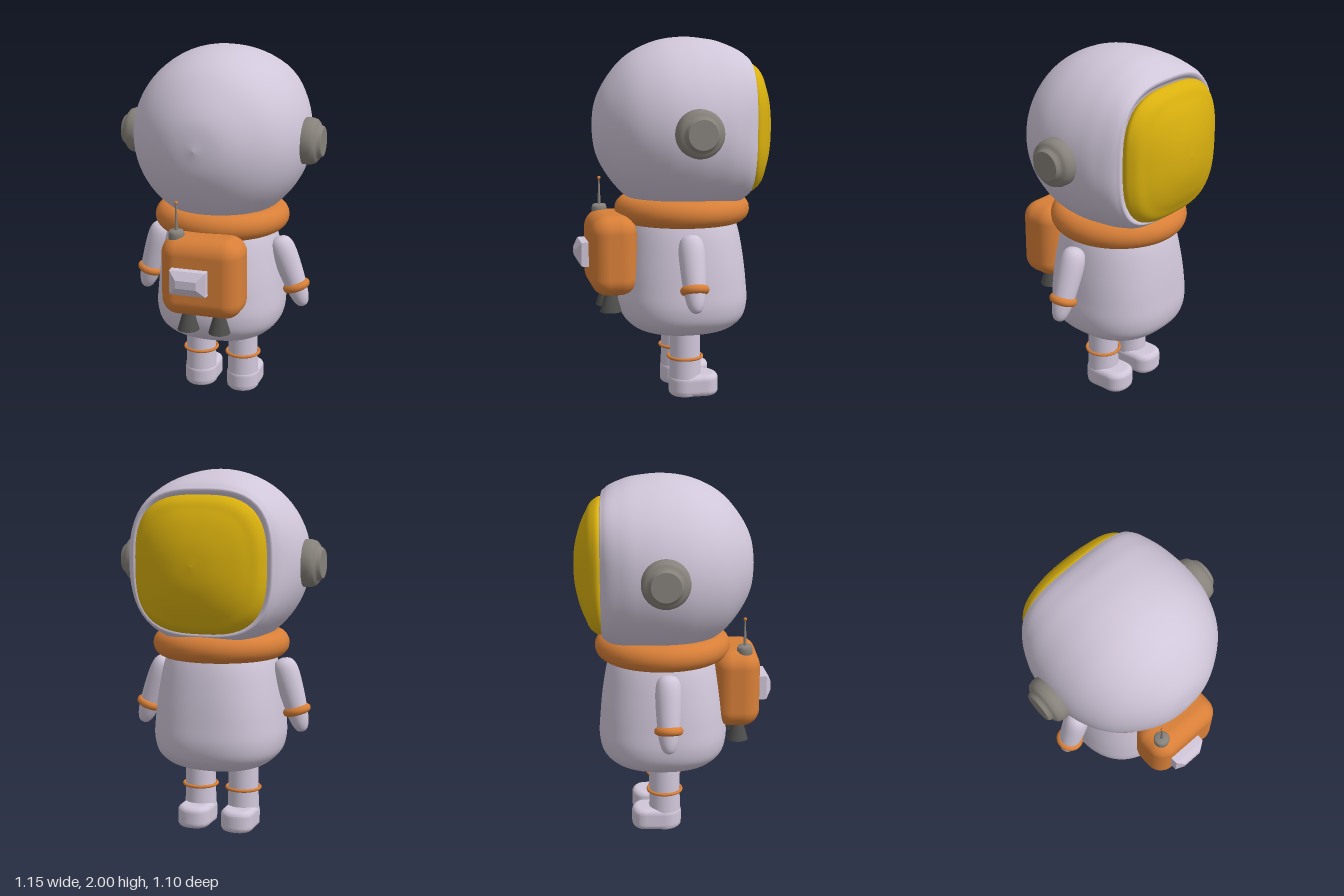
import * as THREE from 'three';
import { RoundedBoxGeometry } from 'three/addons/geometries/RoundedBoxGeometry.js';

const material = (name, color) => {
  const m = new THREE.MeshStandardMaterial({ color });
  m.name = name;
  return m;
};

// Smooth skin over superellipse sections [z, half size, roundness], z increasing.
function loft(sections, steps = 56, sides = 64) {
  const curve = new THREE.CatmullRomCurve3(sections.map(s => new THREE.Vector3(...s)));
  const pos = [], index = [];
  for (let i = 0; i <= steps; i++) {
    const s = curve.getPoint(i / steps);
    for (let j = 0; j < sides; j++) {
      const a = j / sides * Math.PI * 2, c = Math.cos(a), d = Math.sin(a);
      const r = Math.max(s.y, 0.0005) / Math.pow(Math.abs(c) ** s.z + Math.abs(d) ** s.z, 1 / s.z);
      pos.push(r * c, r * d, s.x);
    }
  }
  for (let i = 0; i < steps; i++) {
    for (let j = 0; j < sides; j++) {
      const k = (j + 1) % sides, a = i * sides + j, b = i * sides + k;
      index.push(a, b, a + sides, b, b + sides, a + sides);
    }
  }
  const g = new THREE.BufferGeometry();
  g.setAttribute('position', new THREE.Float32BufferAttribute(pos, 3));
  g.setIndex(index);
  g.computeVertexNormals();
  return g;
}

// Lathe from [radius, y] points listed upwards; optionally smoothed by a spline.
function lathe(points, smooth = true, sides = 32) {
  let p = points.map(q => new THREE.Vector2(...q));
  if (smooth) p = new THREE.SplineCurve(p).getPoints(32).map(q => q.setX(Math.max(q.x, 0)));
  return new THREE.LatheGeometry(p, sides);
}

export function createModel() {
  const suit = material('suit lavender', 0xd0c6d9);
  const orange = material('trim orange', 0xd87f38);
  const gold = material('visor gold', 0xd9b00e);
  const grey = material('fitting grey', 0x87827b);
  const dark = material('nozzle dark', 0x4d4d4c);

  const model = new THREE.Group();
  model.name = 'astronaut';
  const add = (name, geometry, mat, x = 0, y = 0, z = 0, parent = model) => {
    const mesh = new THREE.Mesh(geometry, mat);
    mesh.name = name;
    mesh.position.set(x, y, z);
    parent.add(mesh);
    return mesh;
  };

  // Helmet: round at the back, squarer towards the visor opening
  add('helmet', loft([
    [-0.37, 0, 3], [-0.37, 0.345, 3], [-0.388, 0.372, 3], [-0.375, 0.402, 2.8],
    [-0.3, 0.447, 2.35], [-0.2, 0.478, 2.1], [-0.05, 0.49, 2], [0.1, 0.466, 2],
    [0.25, 0.391, 2], [0.35, 0.284, 2], [0.42, 0.155, 2], [0.445, 0, 2],
  ], 80), suit, 0, 1.51, 0);

  add('visor', loft([
    [-0.548, 0, 2.2], [-0.54, 0.1, 2.3], [-0.516, 0.2, 2.5], [-0.48, 0.285, 2.8],
    [-0.44, 0.345, 3], [-0.405, 0.364, 3], [-0.378, 0.352, 3], [-0.36, 0.33, 3],
  ]), gold, 0, 1.503, 0);

  // Ear caps
  const earProfile = [
    [0.115, 0.42], [0.128, 0.465], [0.128, 0.51], [0.12, 0.535], [0.104, 0.548], [0.09, 0.55],
    [0.087, 0.565], [0.079, 0.575], [0.077, 0.575], [0, 0.575],
  ];
  for (const side of [1, -1]) {
    const ear = add(side > 0 ? 'leftEarCap' : 'rightEarCap', lathe(earProfile, false, 40), grey, 0, 1.5, -0.052);
    ear.rotation.z = -side * Math.PI / 2;
  }

  // Collar and torso
  add('collar', new THREE.TorusGeometry(0.305, 0.074, 20, 64).rotateX(Math.PI / 2), orange, 0, 1.052, -0.06);
  add('torso', loft([
    [0.347, 0, 2.2], [0.35, 0.12, 2.2], [0.365, 0.22, 2.3], [0.4, 0.295, 2.4], [0.45, 0.34, 2.4],
    [0.53, 0.36, 2.4], [0.65, 0.354, 2.4], [0.8, 0.338, 2.3], [0.95, 0.31, 2.2], [1.06, 0.27, 2.1],
  ]).rotateX(-Math.PI / 2), suit, 0, 0, -0.06);

  // Arms hang from the shoulder, each with a cuff ring
  const armProfile = [
    [0, -0.425], [0.026, -0.415], [0.045, -0.38], [0.057, -0.325], [0.062, -0.28],
    [0.068, -0.2], [0.071, -0.1], [0.062, -0.04], [0.038, -0.01], [0, 0],
  ];
  const arms = [['leftArm', 0.335, 0.95, 0.37], ['rightArm', -0.347, 0.975, -0.285]];
  for (const [name, x, y, tilt] of arms) {
    const arm = new THREE.Group();
    arm.name = name;
    arm.position.set(x, y, -0.037);
    arm.rotation.z = tilt;
    add('sleeve', lathe(armProfile), suit, 0, 0, 0, arm);
    add('cuff', new THREE.TorusGeometry(0.054, 0.024, 14, 36).rotateX(Math.PI / 2), orange, 0, -0.3, 0, arm);
    model.add(arm);
  }

  // Legs with ankle rings and boots; the boot sole has a round heel and toe
  const legProfile = [[0, 0.006], [0.08, 0.006], [0.091, 0.018], [0.092, 0.05], [0.088, 0.15], [0.085, 0.24], [0.085, 0.42]];
  const bevel = 0.032, w = 0.093 - bevel;
  const sole = new THREE.Shape();
  sole.absarc(0, 0, w, Math.PI, Math.PI * 2);
  sole.lineTo(w, 0.105);
  sole.bezierCurveTo(w, 0.14, 0.035, 0.155, 0, 0.155);
  sole.bezierCurveTo(-0.035, 0.155, -w, 0.14, -w, 0.105);
  const bootGeometry = new THREE.ExtrudeGeometry(sole, {
    depth: 0.125 - 2 * bevel, bevelThickness: bevel, bevelSize: bevel, bevelSegments: 6, curveSegments: 16,
  }).rotateX(-Math.PI / 2);
  for (const side of [1, -1]) {
    const leg = new THREE.Group();
    leg.name = side > 0 ? 'leftLeg' : 'rightLeg';
    leg.position.set(side * 0.128, 0, -0.053);
    add('shin', lathe(legProfile, false), suit, 0, 0, 0, leg);
    add('boot', bootGeometry, suit, 0, 0.003 + bevel, 0, leg);
    add('ankleRing', new THREE.TorusGeometry(0.094, 0.009, 10, 40).rotateX(Math.PI / 2), orange, 0, 0.226, 0, leg);
    model.add(leg);
  }

  // Backpack with a faceted panel
  add('backpack', new RoundedBoxGeometry(0.45, 0.44, 0.255, 8, 0.095), orange, 0.03, 0.82, 0.353);
  const frustum = (hx0, hy0, hx1, hy1, depth) => {
    const g = new THREE.BoxGeometry(2, 2, depth), p = g.attributes.position;
    for (let i = 0; i < p.count; i++) {
      const front = p.getZ(i) > 0;
      p.setXY(i, p.getX(i) * (front ? hx1 : hx0), p.getY(i) * (front ? hy1 : hy0));
    }
    g.computeVertexNormals();
    return g;
  };
  add('panelBase', frustum(0.102, 0.07, 0.1, 0.066, 0.06), suit, -0.01, 0.817, 0.49);
  add('panelFace', frustum(0.1, 0.066, 0.058, 0.022, 0.028), suit, -0.01, 0.817, 0.534);

  // Antenna
  add('antennaBase', lathe([[0, 0.98], [0.043, 0.98], [0.043, 1.05], [0.036, 1.068], [0, 1.07]], false), grey, -0.113, 0, 0.393);
  add('antennaRod', new THREE.CylinderGeometry(0.004, 0.009, 0.15, 12), grey, -0.113, 1.14, 0.393);
  add('antennaTip', new THREE.SphereGeometry(0.01, 16, 12), orange, -0.113, 1.217, 0.393);

  // Thruster nozzles
  for (const x of [-0.059, 0.118]) {
    add('nozzle', new THREE.CylinderGeometry(0.025, 0.06, 0.12, 28), dark, x, 0.56, 0.365);
  }
  return model;
}
